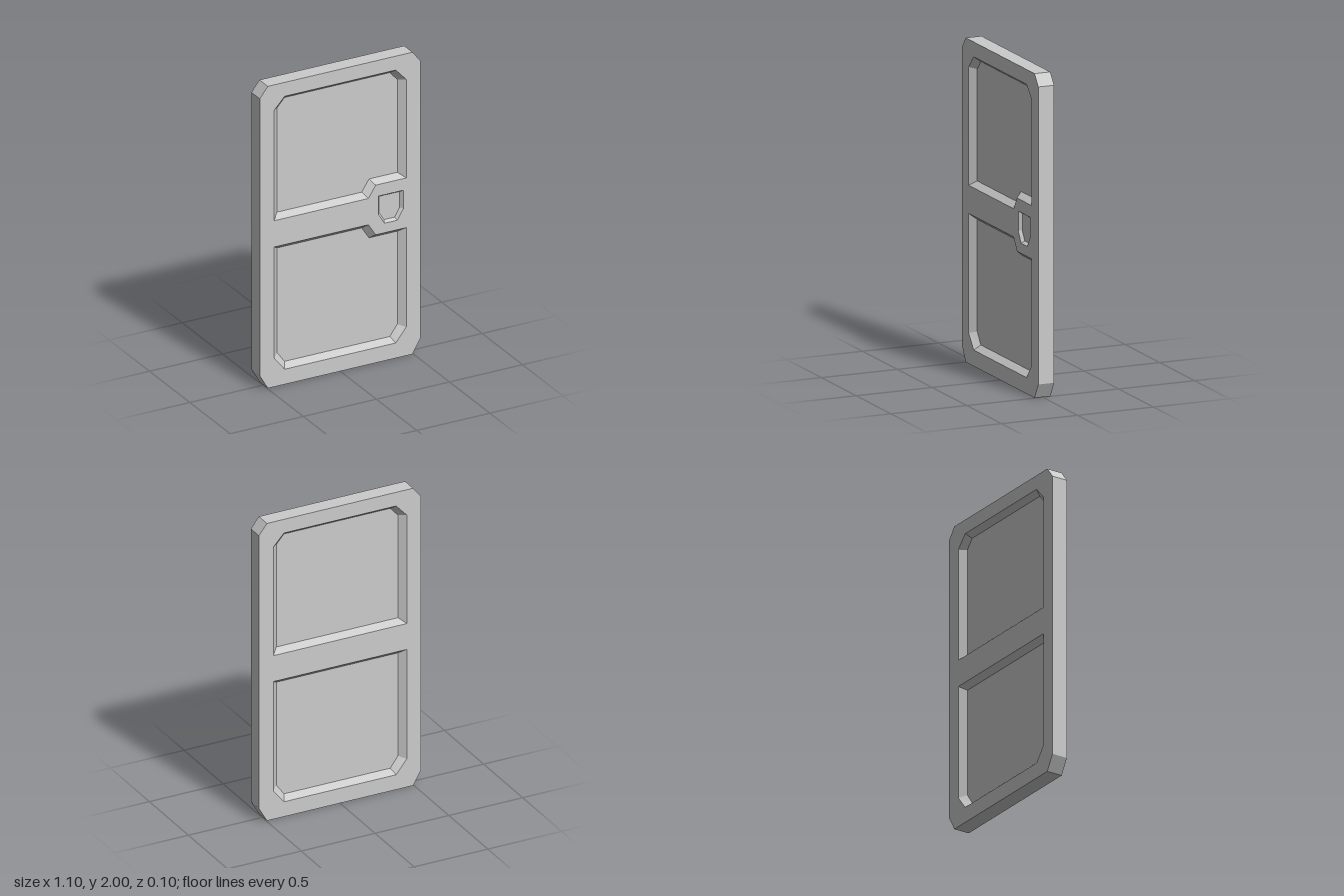
import * as THREE from 'three';

const HALF = 0.052;        // half the door thickness
const PANEL_DEPTH = 0.038; // depth of the large recesses
const GRIP_DEPTH = 0.02;   // depth of the handle recess

const material = new THREE.MeshStandardMaterial({ color: 0xcccccc, flatShading: true });

// All outlines run counter-clockwise seen from the front.
const outline = [[-0.495, 0], [0.495, 0], [0.55, 0.095], [0.55, 1.93],
  [0.495, 2], [-0.495, 2], [-0.55, 1.93], [-0.55, 0.095]];

// Chamfered far corners shared by front and back recesses: rim and floor loops
const upperRimTop = [[0.452, 1.83], [0.38, 1.908], [-0.38, 1.908], [-0.452, 1.83]];
const upperFloorTop = [[0.412, 1.822], [0.36, 1.88], [-0.36, 1.88], [-0.412, 1.822]];
const lowerRimBase = [[-0.452, 0.19], [-0.38, 0.1], [0.38, 0.1], [0.452, 0.19]];
const lowerFloorBase = [[-0.412, 0.203], [-0.36, 0.132], [0.36, 0.132], [0.412, 0.203]];

const frontRecesses = [
  { name: 'upperPanel', depth: PANEL_DEPTH,
    rim: [[-0.452, 1.1], [0.193, 1.1], [0.243, 1.177], [0.452, 1.177], ...upperRimTop],
    floor: [[-0.412, 1.132], [0.168, 1.132], [0.218, 1.208], [0.412, 1.208], ...upperFloorTop] },
  { name: 'lowerPanel', depth: PANEL_DEPTH,
    rim: [...lowerRimBase, [0.452, 0.848], [0.243, 0.848], [0.193, 0.926], [-0.452, 0.926]],
    floor: [...lowerFloorBase, [0.412, 0.818], [0.218, 0.818], [0.168, 0.895], [-0.412, 0.895]] },
  { name: 'handleRecess', depth: GRIP_DEPTH,
    rim: [[0.303, 0.911], [0.391, 0.911], [0.432, 0.978], [0.432, 1.1], [0.261, 1.1], [0.261, 0.978]],
    floor: [[0.311, 0.925], [0.383, 0.925], [0.418, 0.982], [0.418, 1.087], [0.275, 1.087], [0.275, 0.982]] },
];

const backRecesses = [
  { name: 'upperPanel', depth: PANEL_DEPTH,
    rim: [[-0.452, 1.1], [0.452, 1.1], ...upperRimTop],
    floor: [[-0.412, 1.132], [0.412, 1.132], ...upperFloorTop] },
  { name: 'lowerPanel', depth: PANEL_DEPTH,
    rim: [...lowerRimBase, [0.452, 0.926], [-0.452, 0.926]],
    floor: [...lowerFloorBase, [0.412, 0.895], [-0.412, 0.895]] },
];

const toPoints = (loop) => loop.map(([x, y]) => new THREE.Vector2(x, y));

function addMesh(parent, name, geometry) {
  const mesh = new THREE.Mesh(geometry, material);
  mesh.name = name;
  parent.add(mesh);
}

// Flat sheet at height z, with optional holes
function sheet(loop, z, holes = []) {
  const shape = new THREE.Shape(toPoints(loop));
  shape.holes = holes.map((h) => new THREE.Path(toPoints(h)));
  return new THREE.ShapeGeometry(shape).translate(0, 0, z);
}

// Band of quads between two loops with equal point counts
function band(loopA, zA, loopB, zB) {
  const positions = [];
  loopA.forEach((_, i) => {
    const j = (i + 1) % loopA.length;
    const a = [...loopA[i], zA], b = [...loopA[j], zA];
    const c = [...loopB[j], zB], d = [...loopB[i], zB];
    positions.push(...a, ...b, ...c, ...a, ...c, ...d);
  });
  const geometry = new THREE.BufferGeometry();
  geometry.setAttribute('position', new THREE.Float32BufferAttribute(positions, 3));
  geometry.computeVertexNormals();
  return geometry;
}

// One side of the door: frame face plus bevelled recesses
function doorSide(name, recesses) {
  const side = new THREE.Group();
  side.name = name;
  addMesh(side, 'frameFace', sheet(outline, HALF, recesses.map((r) => r.rim)));
  for (const { name: part, depth, rim, floor } of recesses) {
    const recess = new THREE.Group();
    recess.name = part;
    addMesh(recess, part + 'Bevel', band(rim, HALF, floor, HALF - depth));
    addMesh(recess, part + 'Floor', sheet(floor, HALF - depth));
    side.add(recess);
  }
  return side;
}

export function createModel() {
  const door = new THREE.Group();
  door.name = 'door';
  addMesh(door, 'outerEdge', band(outline, -HALF, outline, HALF));
  door.add(doorSide('frontSide', frontRecesses));
  const back = doorSide('backSide', backRecesses);
  back.rotation.y = Math.PI;
  door.add(back);
  return door;
}
